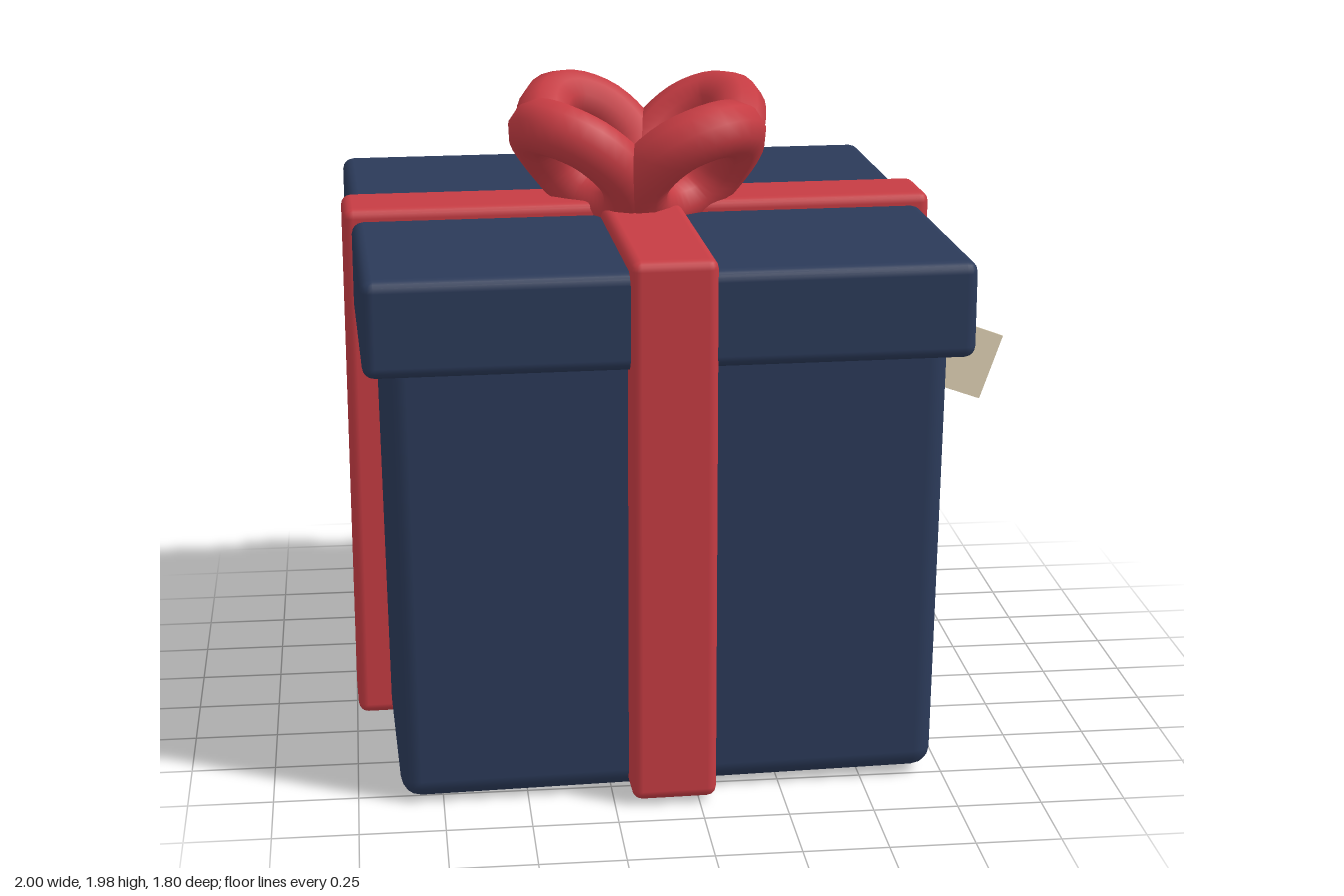
import * as THREE from 'three';
import { RoundedBoxGeometry } from 'three/addons/geometries/RoundedBoxGeometry.js';

const material = (name, color) => {
  const m = new THREE.MeshStandardMaterial({ color });
  m.name = name;
  return m;
};

export function createModel() {
  const navy = material('navy paper', 0x2b3a59);
  const red = material('red ribbon', 0xc63c43);
  const beige = material('beige card', 0xd4c7ab);

  const model = new THREE.Group();
  model.name = 'giftBox';

  // The whole parcel is turned very slightly and sits left of the tag
  const parcel = new THREE.Group();
  parcel.name = 'parcel';
  parcel.position.x = -0.098;
  parcel.rotation.y = 0.027;
  model.add(parcel);

  const add = (parent, name, geometry, mat, x = 0, y = 0, z = 0) => {
    const mesh = new THREE.Mesh(geometry, mat);
    mesh.name = name;
    mesh.position.set(x, y, z);
    parent.add(mesh);
    return mesh;
  };
  const block = (name, w, h, d, r, mat, y) =>
    add(parcel, name, new RoundedBoxGeometry(w, h, d, 2, r), mat, 0, y, 0);

  // Body: narrows a little toward the base, whose underside rises by a hair
  // toward the front left corner
  const body = block('body', 1.61, 1.44, 1.61, 0.06, navy, 0.735);
  const p = body.geometry.attributes.position;
  for (let i = 0; i < p.count; i++) {
    const x = p.getX(i), y = p.getY(i), z = p.getZ(i);
    const s = 1 + 0.016 * y;
    p.setXYZ(i, x * s, y + 0.007 * (x + z), z * s);
  }
  body.geometry.computeBoundingSphere();

  // Lid
  block('lid', 1.75, 0.285, 1.75, 0.035, navy, 1.468);

  // Two crossing ribbon bands
  block('ribbonAcross', 1.8, 1.63, 0.25, 0.03, red, 0.834);
  block('ribbonFrontToBack', 0.25, 1.628, 1.8, 0.03, red, 0.834);

  // Bow: four pointed loops rising outward, wide where neighbours touch
  const bow = new THREE.Group();
  bow.name = 'bow';
  bow.position.set(0.013, 0, 0);
  parcel.add(bow);

  const loopPath = new THREE.CatmullRomCurve3([
    [0.12, 1.63, 0], [0.14, 1.66, 0.11], [0.2, 1.75, 0.165], [0.3, 1.85, 0.13], [0.36, 1.895, 0.045],
    [0.36, 1.895, -0.045], [0.3, 1.85, -0.13], [0.2, 1.75, -0.165], [0.14, 1.66, -0.11],
  ].map(([x, y, z]) => new THREE.Vector3(x, y, z)), true);
  const loopGeometry = new THREE.TubeGeometry(loopPath, 36, 0.086, 10, true);
  for (let i = 0; i < 4; i++) {
    const loop = add(bow, 'bowLoop', loopGeometry, red);
    loop.rotation.y = 0.61 + i * Math.PI / 2;
  }
  add(bow, 'bowKnot', new RoundedBoxGeometry(0.25, 0.22, 0.25, 4, 0.08), red, 0, 1.67, 0);

  // Gift tag hanging out from under the lid
  const tag = add(model, 'giftTag', new THREE.BoxGeometry(0.36, 0.205, 0.016), beige, 0.8, 1.218, 0.372);
  tag.rotation.set(0, 0.3, -0.385);

  return model;
}
